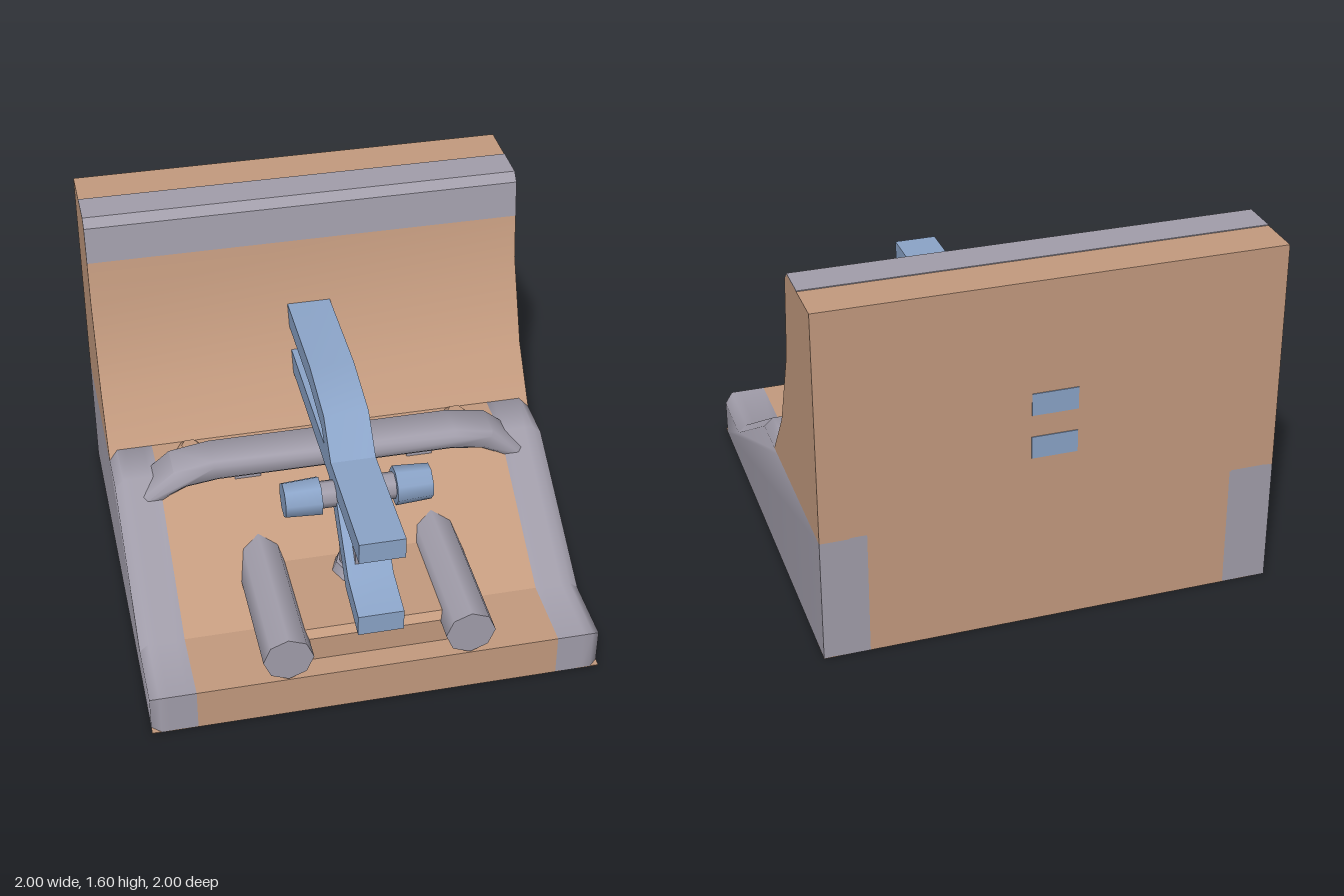
import * as THREE from 'three';
import { toCreasedNormals } from 'three/addons/utils/BufferGeometryUtils.js';

export function createModel() {
  const model = new THREE.Group();
  const material = (name, color) => {
    const m = new THREE.MeshStandardMaterial({ color });
    m.name = name;
    return m;
  };
  const tan = material('tan', 0xc49b7f);
  const gray = material('gray', 0xa29eab);
  const blue = material('blue', 0x8ba4c8);

  const add = (name, geometry, mat, x = 0, y = 0, z = 0) => {
    const mesh = new THREE.Mesh(geometry, mat);
    mesh.name = name;
    mesh.position.set(x, y, z);
    model.add(mesh);
    return mesh;
  };
  const shapeOf = (points) => new THREE.Shape(points.map(([a, b]) => new THREE.Vector2(a, b)));
  // Extrudes a [z, y] side profile across x, centred on x = 0
  const across = (points, width, steps = 1) =>
    new THREE.ExtrudeGeometry(shapeOf(points), { depth: width, steps, bevelEnabled: false })
      .translate(0, 0, -width / 2)
      .rotateY(-Math.PI / 2);
  // Box given by its limits
  const block = (name, mat, x0, x1, y0, y1, z0, z1) =>
    add(name, new THREE.BoxGeometry(x1 - x0, y1 - y0, z1 - z0), mat,
      (x0 + x1) / 2, (y0 + y1) / 2, (z0 + z1) / 2);

  // Ramp between the side borders, and the underside
  const ramp = [[1, 0], [1, 0.2], [0.66, 0.2], [0, 0.6], [-0.23, 0.6], [-0.26, 0.57], [-1, 0.57], [-1, 0]];
  add('ramp', across(ramp, 1.6), tan);
  block('underside', tan, -1, 1, 0, 0.004, -1, 1);

  // Curved back wall
  const wall = [[-0.2, 0.565], [-0.39, 0.81], [-0.55, 1.19], [-0.6, 1.565], [-0.635, 1.6], [-1, 1.6], [-1, 0.565]];
  add('backWall', toCreasedNormals(across(wall, 2), 0.5), tan);

  // Thin band around the wall's upper lip
  const lip = [[-0.578, 1.4], [-0.6, 1.565], [-0.635, 1.6], [-0.8, 1.6],
    [-0.8, 1.604], [-0.633, 1.604], [-0.596, 1.567], [-0.574, 1.4]];
  add('wallLip', across(lip, 2), gray);

  for (const s of [1, -1]) {
    // Side border with chamfered outer edges
    const border = across(ramp, 0.2, 5).translate(s * 0.9, 0, 0);
    const p = border.attributes.position;
    for (let i = 0; i < p.count; i++) {
      if (s * p.getX(i) < 0.99) continue;
      if (p.getZ(i) > 0.99) p.setZ(i, 0.965);
      if (p.getY(i) > 0.1) p.setY(i, p.getY(i) - (p.getY(i) > 0.58 || p.getZ(i) > 0 ? 0.035 : 0.005));
    }
    add(s > 0 ? 'leftBorder' : 'rightBorder', toCreasedNormals(border, 0.9), gray);

    // Pipe running into the ramp
    add('pipe', new THREE.CylinderGeometry(0.11, 0.11, 0.8, 8).rotateX(Math.PI / 2), gray, s * 0.4, 0.315, 0.6);

    // Crossbar foot
    block('crossbarFoot', gray, s * 0.4 - 0.06, s * 0.4 + 0.06, 0.5, 0.62, -0.055, 0.055);

    // Small stud behind the crossbar
    add('stud', new THREE.CylinderGeometry(0.04, 0.07, 0.03, 6).rotateY(Math.PI / 6), tan, s * 0.63, 0.615, -0.16);

    // Grip, narrowing outwards
    add('grip', new THREE.CylinderGeometry(0.079, 0.088, 0.16, 8)
      .rotateY(0.25).rotateZ(-s * Math.PI / 2), blue, s * 0.245, 0.787, 0.515);
  }

  // Step between the pipes, with a chamfered front edge
  add('step', across([[0.9, 0.19], [0.9, 0.32], [0.87, 0.35], [0.35, 0.35], [0.35, 0.19]], 0.66), tan);

  // Arched crossbar
  const half = [[0.56, 0.7], [0.74, 0.67], [0.89, 0.545], [0.93, 0.5], [0.81, 0.5], [0.76, 0.545], [0.69, 0.58], [0.54, 0.6]];
  const arch = [...half, ...half.map(([x, y]) => [-x, y]).reverse()];
  const bar = new THREE.ExtrudeGeometry(shapeOf(arch), {
    depth: 0.16, bevelThickness: 0.02, bevelSize: 0.02, bevelOffset: -0.02, bevelSegments: 1,
  }).translate(0, 0, -0.08);
  add('crossbar', toCreasedNormals(bar, 0.9), gray);

  // Straight beam and bent beam, both passing through the wall
  block('straightBeam', blue, -0.1, 0.1, 0.8, 0.9, -1.004, 1);
  const bent = [[1, 0.4], [1, 0.5], [0.8, 0.545], [0.3, 1.045], [0, 1.1], [-1.004, 1.1],
    [-1.004, 1.0], [0, 1.0], [0.255, 0.955], [0.755, 0.455]];
  add('bentBeam', toCreasedNormals(across(bent, 0.2), 0.7), blue);

  // Posts carrying the beams
  block('frontPost', gray, -0.06, 0.06, 0.34, 0.81, 0.65, 0.76);
  block('middlePost', gray, -0.055, 0.055, 0.68, 0.81, -0.055, 0.055);
  block('rearPost', gray, -0.055, 0.055, 0.89, 1.01, -0.55, -0.44);
  add('gripPost', new THREE.CylinderGeometry(0.085, 0.072, 0.46, 8), gray, 0, 0.56, 0.515);
  add('postCollar', new THREE.CylinderGeometry(0.09, 0.11, 0.05, 8), gray, 0, 0.37, 0.515);
  add('gripShaft', new THREE.CylinderGeometry(0.06, 0.06, 0.36, 8).rotateZ(Math.PI / 2), gray, 0, 0.79, 0.515);

  return model;
}
